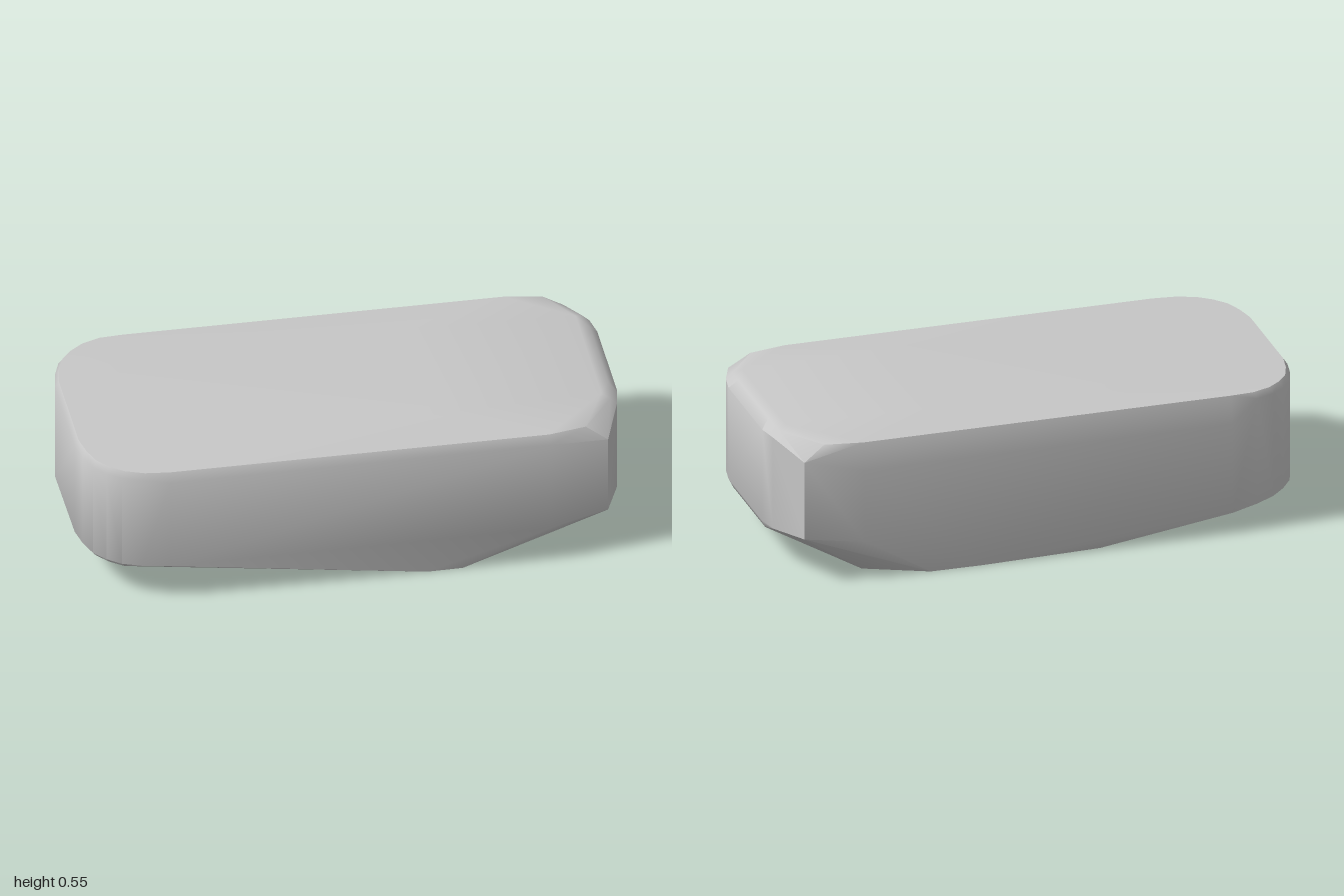
import * as THREE from 'three';
import { ConvexGeometry } from 'three/addons/geometries/ConvexGeometry.js';
import { toCreasedNormals } from 'three/addons/utils/BufferGeometryUtils.js';

export function createModel() {
  const group = new THREE.Group();
  const stone = new THREE.MeshStandardMaterial({ color: 0xc7c7c7 });
  stone.name = 'pale grey stone';

  const points = [];
  const add = (x, y, z) => points.push(new THREE.Vector3(x, y, z));

  for (const s of [1, -1]) {
    // rounded left end: upright wall, barely bevelled at the top and bottom
    for (const [x, z] of [[-1, 0.2], [-0.985, 0.28], [-0.96, 0.35], [-0.92, 0.4],
      [-0.87, 0.44], [-0.8, 0.467]]) {
      add(x, 0.51, z * s);
      add(x, s > 0 ? 0.14 : -0.025 - 0.15 * x, z * s);
      add(x * 0.985, 0.533, z * s * 0.98);
      if (x < -0.85) add(x * 0.985, 0.12, z * s * 0.97);
    }
    // blunt right end, with its corner edge
    for (const [x, z] of [[1, 0.2], [0.985, 0.28]]) {
      add(x, 0.515, z * s);
      add(x, 0.155, z * s);
      add(x - 0.025, 0.538, z * s);
    }
    add(0.985, 0.124, 0.19 * s);
    add(0.92, 0.478, 0.455 * s);
    add(0.92, 0.175, 0.455 * s);
    // shallow crown on the top face
    add(0.93, 0.553, 0.26 * s);
    add(0.3, 0.553, 0.29 * s);
    add(0.97, 0.549, 0.18 * s);
    add(0.84, 0.533, 0.44 * s);
  }

  // front long side and the bevel above it
  for (const x of [-0.7, 0.7]) {
    add(x, 0.5, 0.488);
    add(x, 0.14, 0.488);
    add(x, 0.533, 0.468);
  }

  // back long side, leaning in towards its top
  for (const [x, low] of [[-0.7, 0.08], [0.7, 0.15]]) {
    add(x, 0.43, -0.484);
    add(x, low, -0.487);
    add(x, 0.533, -0.463);
  }

  // flat patch underneath
  for (const [x, z] of [[0.25, 0.48], [0.38, 0.478], [0.5, 0.4], [0.6, 0.28], [0.78, 0.02],
    [0.78, -0.02], [0.68, -0.385], [0.45, -0.487], [0.25, -0.489], [-0.2, -0.47],
    [-0.2, 0.3]]) add(x, 0, z);

  const block = new THREE.Mesh(toCreasedNormals(new ConvexGeometry(points), 0.75), stone);
  block.name = 'stoneBlock';
  group.add(block);
  return group;
}
